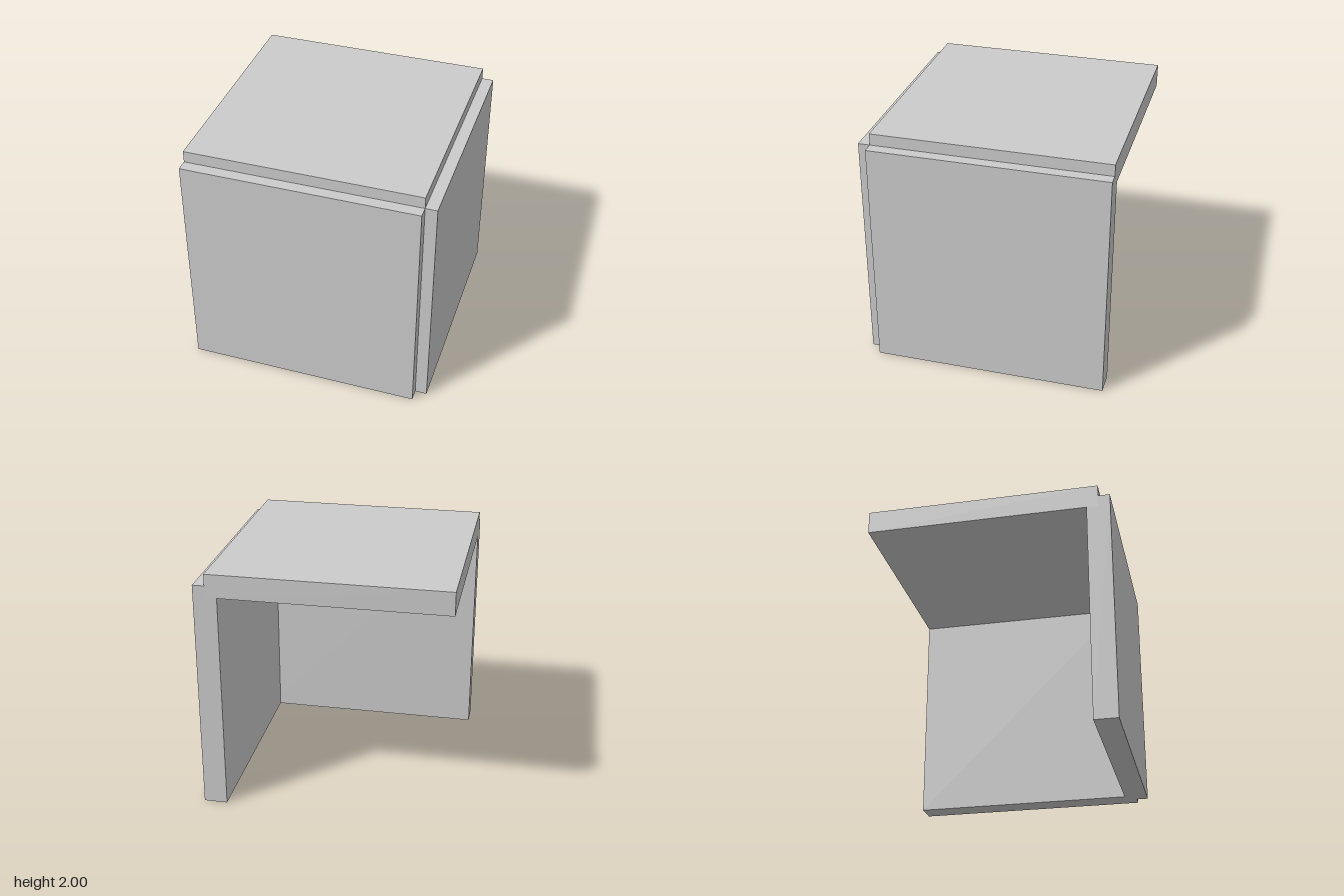
import * as THREE from 'three';

export function createModel() {
  const group = new THREE.Group();
  const material = new THREE.MeshStandardMaterial({ color: 0xcccccc });

  const length = 1.905; // side of each square panel
  const thick = 0.19;
  const mid = -1 + length / 2; // centre of a panel along x or z
  const outer = 1 - thick / 2; // centre of a panel across its thickness

  function addPanel(name, size, position) {
    const mesh = new THREE.Mesh(new THREE.BoxGeometry(...size), material);
    mesh.name = name;
    mesh.position.set(...position);
    group.add(mesh);
  }

  // Three equal square panels crossing at one corner
  addPanel('topPanel', [length, thick, length], [mid, 1 + outer, mid]);
  addPanel('frontPanel', [length, length, thick], [mid, length / 2, outer]);
  addPanel('leftPanel', [thick, length, length], [outer, length / 2, mid]);

  return group;
}
